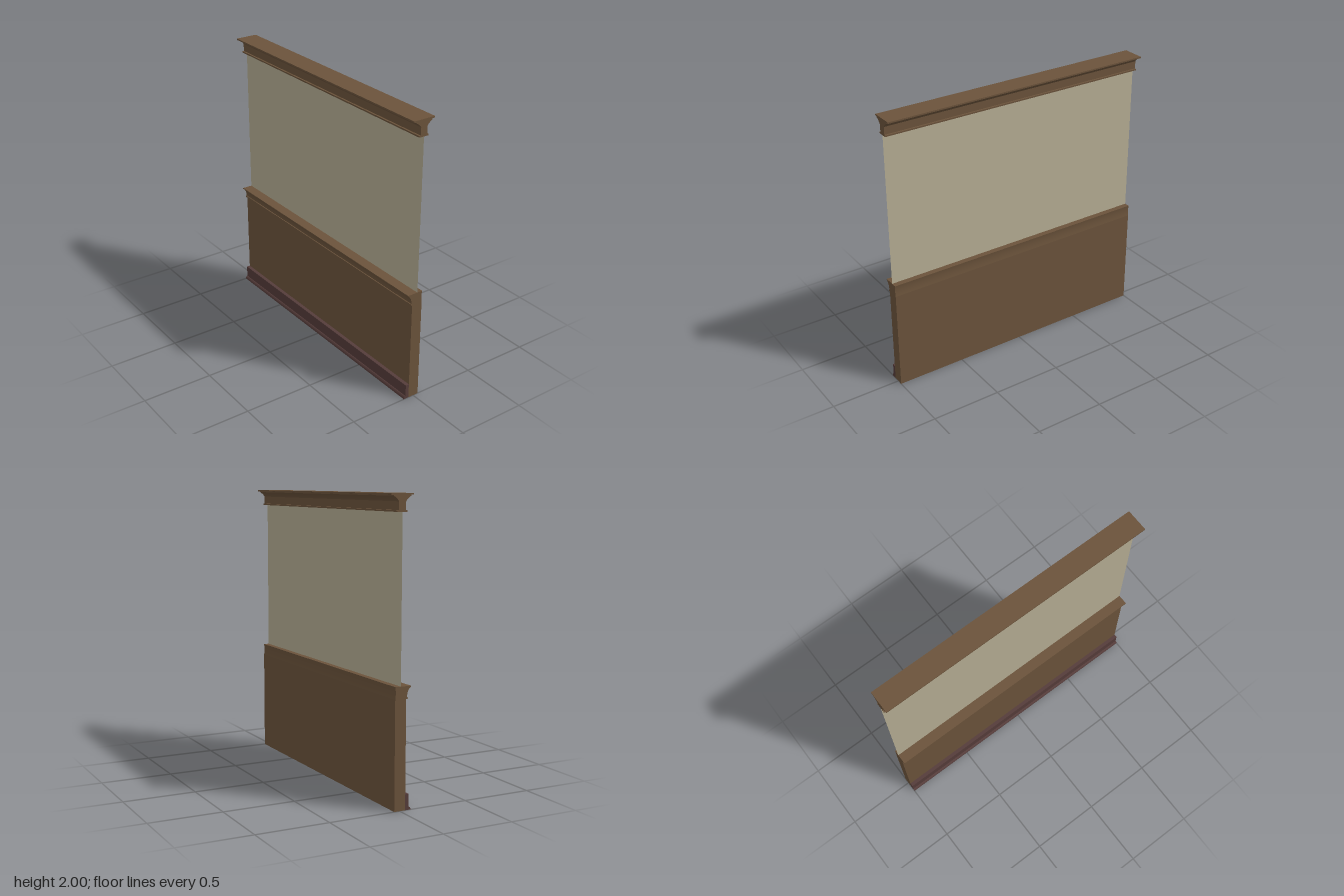
import * as THREE from 'three';
import { toCreasedNormals } from 'three/addons/utils/BufferGeometryUtils.js';

const LENGTH = 2;
const wood = new THREE.MeshStandardMaterial({ color: 0x6b533b });
const darkWood = new THREE.MeshStandardMaterial({ color: 0x553c3a });
const pane = new THREE.MeshStandardMaterial({ color: 0xb5ad93, side: THREE.DoubleSide });

// Runs an x/y moulding profile along the whole length
function moulding(name, shape, material) {
  const geo = new THREE.ExtrudeGeometry(shape, { depth: LENGTH, bevelEnabled: false, curveSegments: 8 });
  geo.translate(0, 0, -LENGTH / 2);
  const mesh = new THREE.Mesh(toCreasedNormals(geo, 0.5), material);
  mesh.name = name;
  return mesh;
}

function polygon(points) {
  return new THREE.Shape(points.map(([x, y]) => new THREE.Vector2(x, y)));
}

export function createModel() {
  const group = new THREE.Group();
  group.name = 'partitionWall';

  // Lower wall
  group.add(moulding('lowerWall', polygon([[-0.04, 0], [0.04, 0], [0.04, 0.72], [-0.04, 0.72]]), wood));

  // Chair rail: projecting cove on one side, shallow hollow on the other
  const rail = new THREE.Shape();
  rail.moveTo(-0.04, 0.72);
  rail.lineTo(0.04, 0.72);
  rail.quadraticCurveTo(0.033, 0.765, 0.04, 0.803);
  rail.lineTo(-0.075, 0.803);
  rail.lineTo(-0.075, 0.797);
  rail.quadraticCurveTo(-0.047, 0.78, -0.045, 0.732);
  rail.lineTo(-0.051, 0.731);
  rail.lineTo(-0.051, 0.72);
  group.add(moulding('chairRail', rail, wood));

  // Baseboard with a rounded shoe
  const base = new THREE.Shape();
  base.moveTo(-0.04, 0);
  base.lineTo(-0.04, 0.105);
  base.lineTo(-0.066, 0.105);
  base.lineTo(-0.066, 0.021);
  base.quadraticCurveTo(-0.079, 0.018, -0.08, 0);
  group.add(moulding('baseboard', base, darkWood));

  // Thin panel between the rails
  const low = 0.8, high = 1.89;
  const panel = new THREE.Mesh(new THREE.PlaneGeometry(LENGTH, high - low), pane);
  panel.rotation.y = Math.PI / 2;
  panel.position.y = (low + high) / 2;
  panel.name = 'panel';
  group.add(panel);

  // Top rail: symmetric, with foot, neck, cove and flat cap
  const top = new THREE.Shape();
  top.moveTo(-0.036, 1.886);
  top.lineTo(0.036, 1.886);
  top.lineTo(0.036, 1.896);
  top.lineTo(0.025, 1.897);
  top.lineTo(0.025, 1.95);
  top.quadraticCurveTo(0.034, 1.966, 0.062, 1.984);
  top.lineTo(0.062, 1.989);
  top.lineTo(0.08, 1.99);
  top.lineTo(0.08, 2);
  top.lineTo(-0.08, 2);
  top.lineTo(-0.08, 1.99);
  top.lineTo(-0.062, 1.989);
  top.lineTo(-0.062, 1.984);
  top.quadraticCurveTo(-0.034, 1.966, -0.025, 1.95);
  top.lineTo(-0.025, 1.897);
  top.lineTo(-0.036, 1.896);
  group.add(moulding('topRail', top, wood));

  return group;
}
